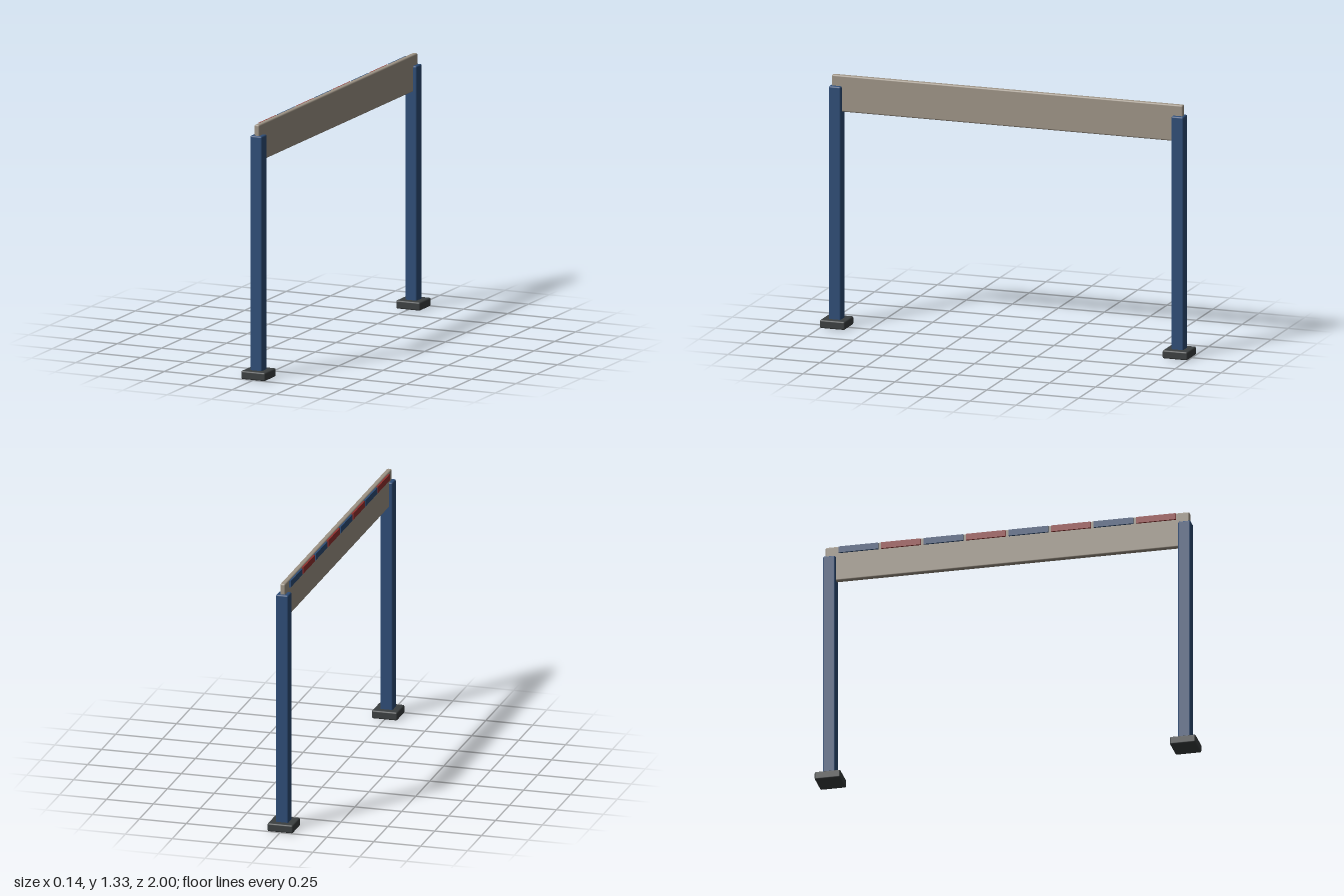
import * as THREE from 'three';
import { RoundedBoxGeometry } from 'three/addons/geometries/RoundedBoxGeometry.js';

const material = (name, color) => {
  const m = new THREE.MeshStandardMaterial({ color });
  m.name = name;
  return m;
};

export function createModel() {
  const group = new THREE.Group();
  group.name = 'beamOnPosts';

  const blue = material('postBlue', 0x2d4c76);
  const charcoal = material('footCharcoal', 0x3b3f40);
  const taupe = material('beamTaupe', 0x9e9486);
  const red = material('stripeRed', 0x93302e);

  // Softly bevelled box, placed by its centre
  const box = (name, mat, [w, h, d], [x, y, z], bevel) => {
    const geometry = bevel
      ? new RoundedBoxGeometry(w, h, d, 2, bevel)
      : new THREE.BoxGeometry(w, h, d);
    const mesh = new THREE.Mesh(geometry, mat);
    mesh.name = name;
    mesh.position.set(x, y, z);
    group.add(mesh);
  };

  // Posts and their square feet at both ends
  for (const [end, side] of [['front', 1], ['back', -1]]) {
    const z = side * 0.932;
    box(end + 'Foot', charcoal, [0.136, 0.044, 0.136], [0, 0.022, z], 0.008);
    box(end + 'Post', blue, [0.066, 1.24, 0.066], [0, 0.65, z], 0.008);
  }

  // Long upright beam
  box('beam', taupe, [0.028, 0.192, 1.91], [0, 1.231, 0], 0.008);

  // Alternating stripes along the top of the beam's right face
  for (let i = 0; i < 8; i++) {
    const z = (i - 3.5) * 0.223;
    box('stripe' + (i + 1), i % 2 ? red : blue, [0.009, 0.034, 0.207], [-0.0185, 1.305, z]);
  }
  return group;
}
